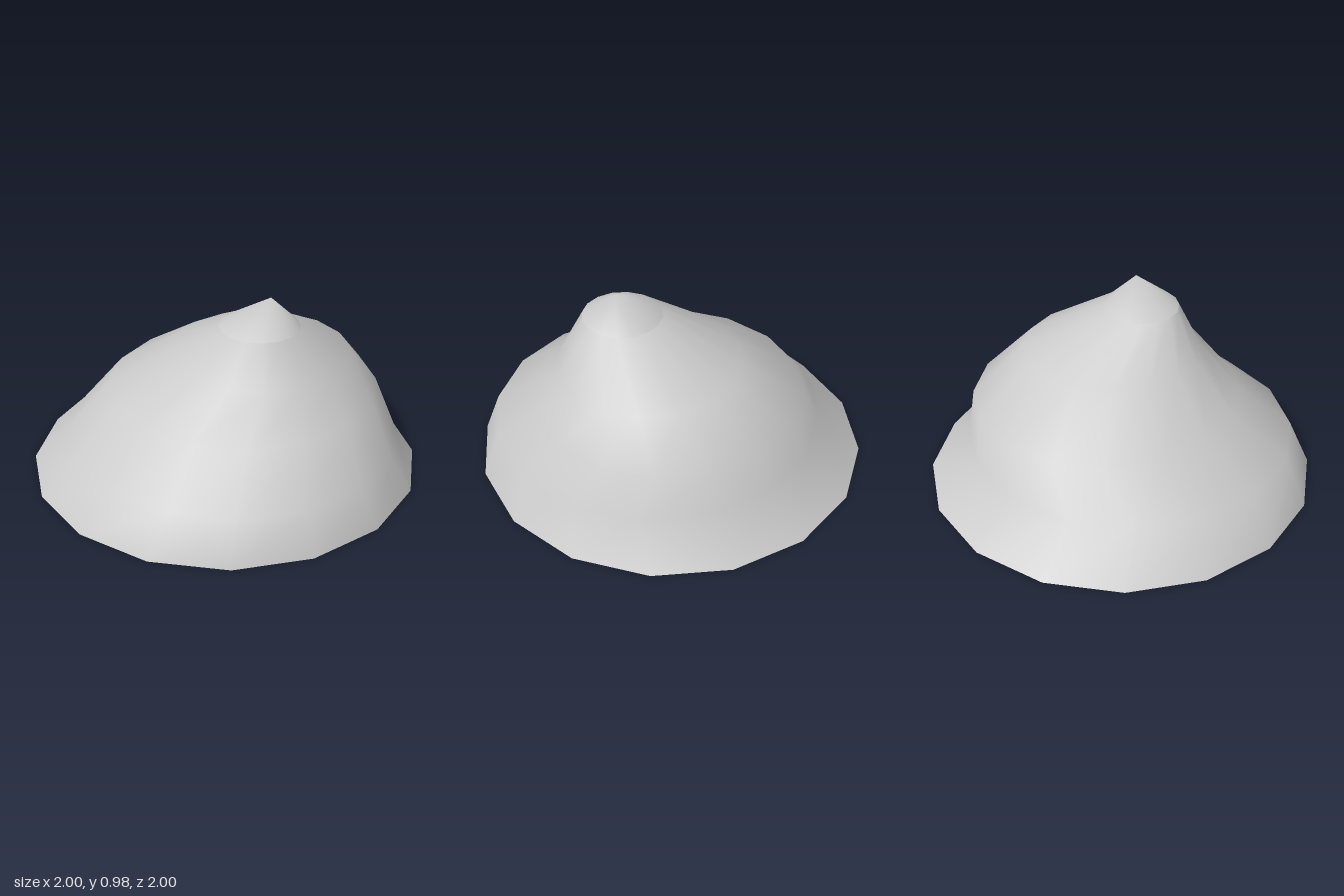
import * as THREE from 'three';

const SIDES = 16;

// Cross-sections of the hill: [centre x, y, centre z, radius]
const RINGS = [
  [0, 0, 0, 1],
  [0, 0.21, 0.075, 0.845],
  [0.1, 0.42, 0, 0.69],
  [0.15, 0.63, 0.09, 0.46],
  [0.08, 0.835, 0.23, 0.2],
];
const PEAK = [0.13, 0.98, 0.25];

function ringPoints([cx, y, cz, r]) {
  const points = [];
  for (let i = 0; i < SIDES; i++) {
    const a = (i / SIDES) * Math.PI * 2;
    points.push(cx + r * Math.cos(a), y, cz + r * Math.sin(a));
  }
  return points;
}

function smoothGeometry(positions, index) {
  const g = new THREE.BufferGeometry();
  g.setAttribute('position', new THREE.Float32BufferAttribute(positions, 3));
  g.setIndex(index);
  g.computeVertexNormals();
  return g;
}

// Skin of quads joining successive rings
function loft(rings) {
  const index = [];
  for (let j = 0; j < rings.length - 1; j++) {
    for (let i = 0; i < SIDES; i++) {
      const n = (i + 1) % SIDES;
      const a = j * SIDES + i, b = j * SIDES + n;
      index.push(a, a + SIDES, b, b, a + SIDES, b + SIDES);
    }
  }
  return smoothGeometry(rings.flatMap(ringPoints), index);
}

// Fan of triangles from a ring to a point
function fan(ring, tip, facingDown = false) {
  const index = [];
  for (let i = 0; i < SIDES; i++) {
    const n = (i + 1) % SIDES;
    if (facingDown) index.push(i, n, SIDES);
    else index.push(i, SIDES, n);
  }
  return smoothGeometry([...ringPoints(ring), ...tip], index);
}

export function createModel() {
  const model = new THREE.Group();
  model.name = 'hill';
  const material = new THREE.MeshStandardMaterial({ color: 0xcccccc });
  const add = (name, geometry) => {
    const mesh = new THREE.Mesh(geometry, material);
    mesh.name = name;
    model.add(mesh);
  };

  add('slopes', loft(RINGS));
  add('peak', fan(RINGS[RINGS.length - 1], PEAK));
  add('base', fan(RINGS[0], [0, 0, 0], true));
  return model;
}
